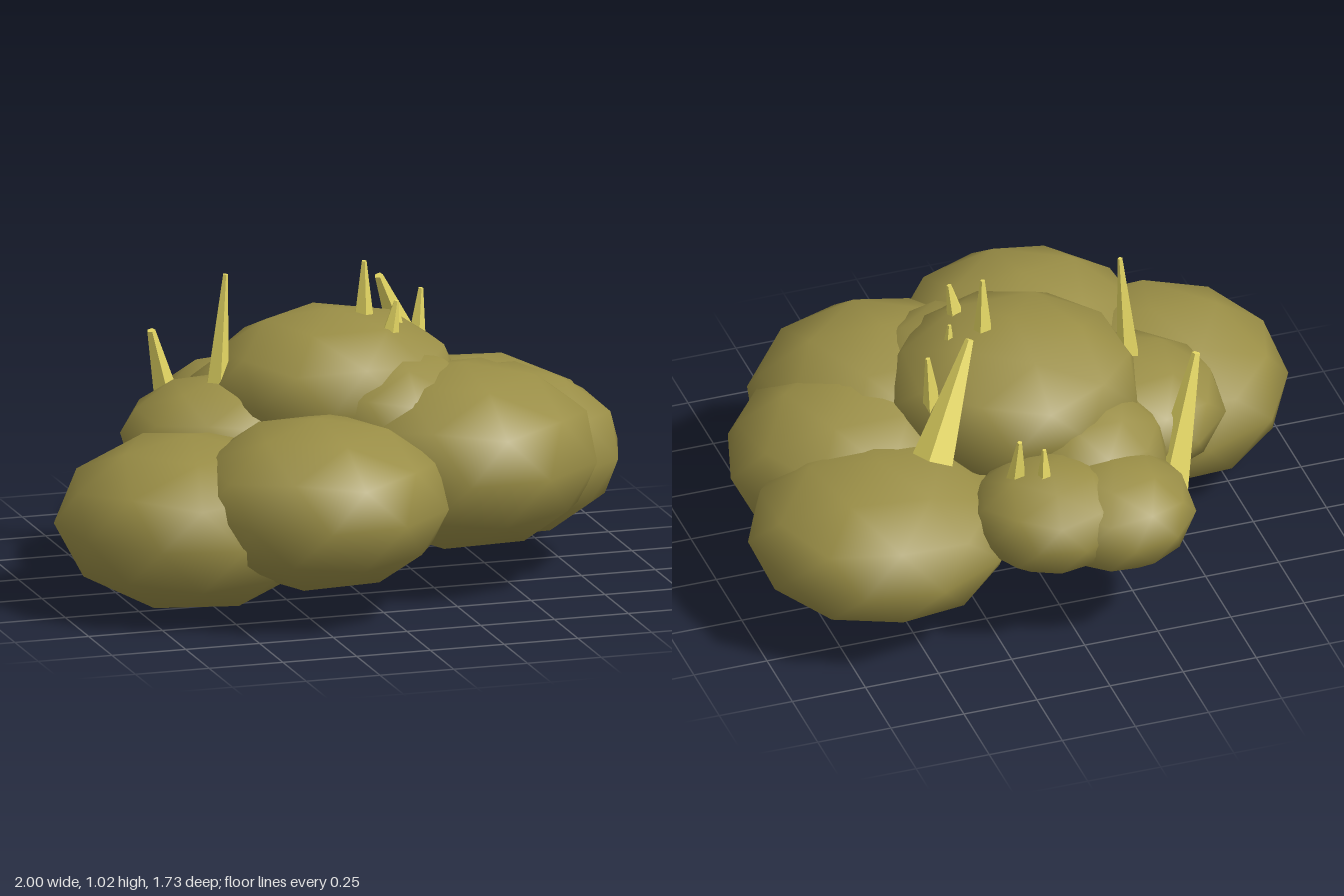
import * as THREE from 'three';
import { mergeVertices } from 'three/addons/utils/BufferGeometryUtils.js';

const leaf = new THREE.MeshStandardMaterial({ color: 0x9a8e46 });
leaf.name = 'olive foliage';
const blade = new THREE.MeshStandardMaterial({ color: 0xeee068, flatShading: true });
blade.name = 'pale grass';

const POLE_TILT = -Math.atan((1 + Math.sqrt(5)) / 2);

// Low-poly flattened ball with a vertex at its top pole, turned by yaw degrees
function clump(name, [x, y, z], radius, height, yaw) {
  let geo = new THREE.IcosahedronGeometry(1, 1);
  geo.deleteAttribute('uv');
  geo.deleteAttribute('normal');
  geo = mergeVertices(geo, 1e-3);
  geo.rotateX(POLE_TILT);
  geo.rotateY(THREE.MathUtils.degToRad(yaw));
  geo.scale(radius, height, radius);
  geo.computeVertexNormals();
  const mesh = new THREE.Mesh(geo, leaf);
  mesh.name = name;
  mesh.position.set(x, y, z);
  return mesh;
}

// Tapered five-sided blade running from base to tip
function spike(name, base, tip, radius) {
  const a = new THREE.Vector3(...base), b = new THREE.Vector3(...tip);
  const dir = b.clone().sub(a);
  const mesh = new THREE.Mesh(new THREE.CylinderGeometry(radius * 0.2, radius, dir.length(), 5), blade);
  mesh.name = name;
  mesh.position.copy(a).add(b).multiplyScalar(0.5);
  mesh.quaternion.setFromUnitVectors(new THREE.Vector3(0, 1, 0), dir.normalize());
  return mesh;
}

export function createModel() {
  const group = new THREE.Group();
  group.name = 'bush';

  // Foliage clumps: name, centre, radius, half height, yaw
  const clumps = [
    ['frontRightClump', [-0.565, 0.285, 0.22], 0.445, 0.285, -12],
    ['frontClump', [-0.2, 0.37, 0.44], 0.43, 0.28, 6],
    ['frontLeftClump', [0.365, 0.425, 0.19], 0.45, 0.305, 4],
    ['leftClump', [0.53, 0.38, 0.01], 0.42, 0.28, 1],
    ['backLeftClump', [0.565, 0.335, -0.36], 0.435, 0.255, -8],
    ['topClump', [0.02, 0.61, -0.1], 0.42, 0.255, 36],
    ['upperFrontClump', [0.16, 0.53, 0.1], 0.31, 0.24, 0],
    ['rightClump', [-0.355, 0.46, -0.12], 0.33, 0.2, 10],
    ['upperBackClump', [-0.14, 0.48, -0.36], 0.27, 0.2, 0],
    ['backRightClump', [-0.15, 0.41, -0.61], 0.265, 0.18, 14],
    ['backClump', [0.06, 0.43, -0.585], 0.265, 0.18, 26],
  ];
  for (const c of clumps) group.add(clump(...c));

  // Grass blades: base, tip, base radius
  const blades = [
    [[-0.375, 0.6, -0.11], [-0.35, 1.01, -0.09], 0.042],
    [[0.12, 0.76, -0.1], [0.117, 1.02, -0.08], 0.042],
    [[0.15, 0.74, 0.05], [0.18, 0.92, 0.07], 0.042],
    [[0.23, 0.72, -0.07], [0.225, 0.86, -0.065], 0.032],
    [[0.34, 0.62, -0.25], [0.36, 0.87, -0.24], 0.042],
    [[0.38, 0.56, -0.36], [0.22, 0.92, -0.25], 0.072],
    [[-0.4, 0.32, -0.43], [-0.52, 0.77, -0.35], 0.072],
    [[0.17, 0.52, -0.56], [0.165, 0.72, -0.585], 0.042],
    [[0.09, 0.52, -0.62], [0.09, 0.69, -0.61], 0.036],
  ];
  blades.forEach((b, i) => group.add(spike('grassBlade' + (i + 1), ...b)));

  return group;
}
